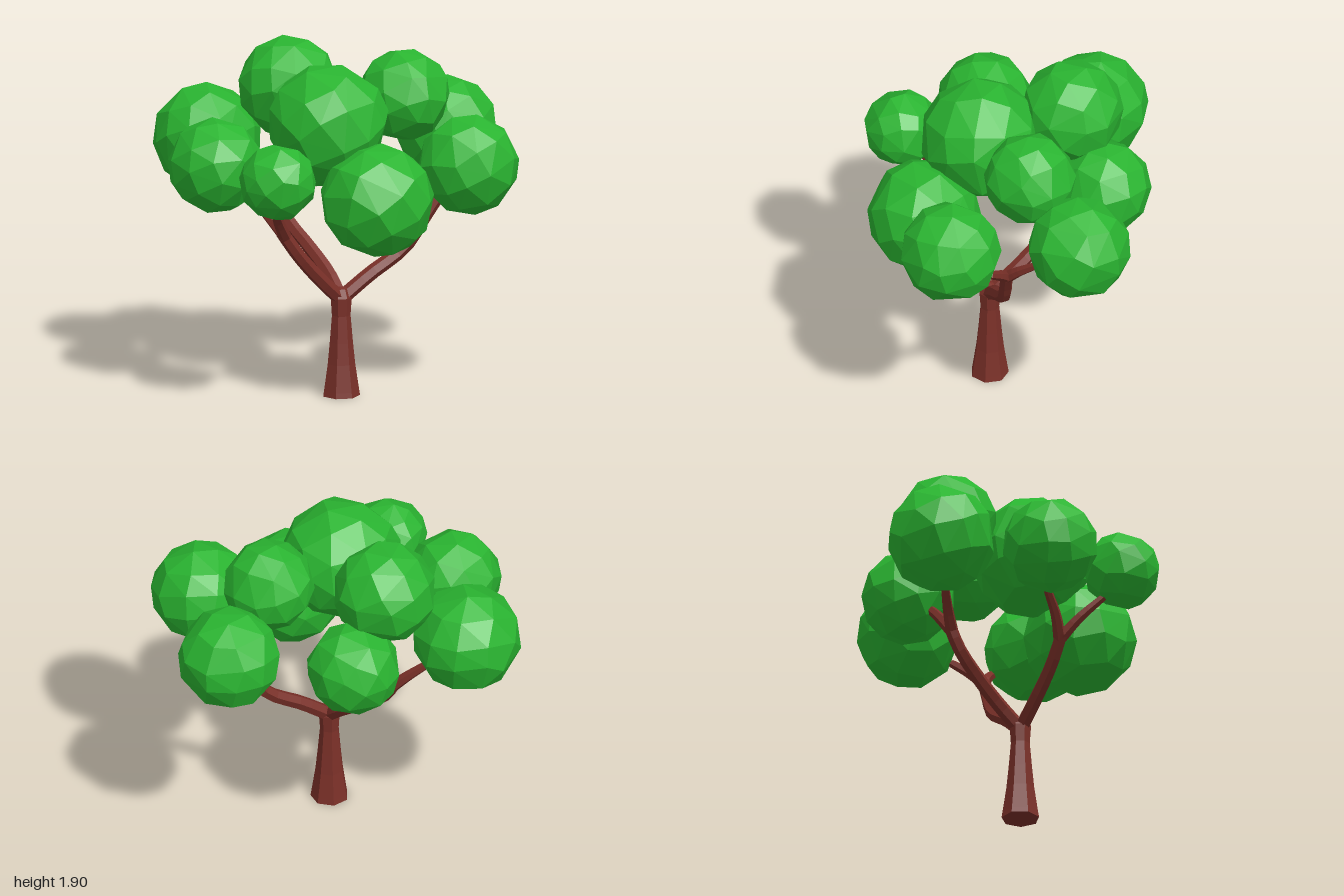
import * as THREE from 'three';
import { ConvexGeometry } from 'three/addons/geometries/ConvexGeometry.js';

const bark = new THREE.MeshStandardMaterial({ color: 0x7a3028, flatShading: true });
const leaf = new THREE.MeshStandardMaterial({ color: 0x2ab531, flatShading: true });

// Small seeded random generator
function seeded(seed) {
  let s = seed;
  return () => (s = (s * 16807) % 2147483647) / 2147483647;
}

// Faceted ball: hull of evenly spread, slightly shaken points on a sphere
function foliage(name, x, y, z, r, seed) {
  const rand = seeded(seed * 7919 + 17);
  const turn = new THREE.Euler(rand() * 6, rand() * 6, rand() * 6);
  const count = 44, points = [];
  for (let i = 0; i < count; i++) {
    const h = 1 - (2 * i + 1) / count;
    const a = i * 2.39996 + (rand() - 0.5) * 0.3;
    const q = Math.sqrt(1 - h * h);
    points.push(new THREE.Vector3(q * Math.cos(a), h + (rand() - 0.5) * 0.08, q * Math.sin(a))
      .setLength(r * 1.015).applyEuler(turn));
  }
  const mesh = new THREE.Mesh(new ConvexGeometry(points), leaf);
  mesh.name = name;
  mesh.position.set(x, y, z);
  return mesh;
}

// Six-sided limb along a curve, tapering from r0 to r1
function limb(name, pts, r0, r1) {
  const curve = new THREE.CatmullRomCurve3(pts.map(p => new THREE.Vector3(...p)));
  const steps = pts.length * 2, sides = 6;
  const geo = new THREE.TubeGeometry(curve, steps, 1, sides);
  const pos = geo.attributes.position, v = new THREE.Vector3();
  for (let i = 0; i <= steps; i++) {
    const c = curve.getPointAt(i / steps);
    const r = THREE.MathUtils.lerp(r0, r1, i / steps);
    for (let j = 0; j <= sides; j++) {
      const k = i * (sides + 1) + j;
      v.fromBufferAttribute(pos, k).sub(c).multiplyScalar(r).add(c);
      pos.setXYZ(k, v.x, v.y, v.z);
    }
  }
  geo.computeVertexNormals();
  const mesh = new THREE.Mesh(geo, bark);
  mesh.name = name;
  return mesh;
}

export function createModel() {
  const tree = new THREE.Group();
  tree.name = 'tree';

  // Trunk: flared foot, narrow waist, slight swelling at the fork
  const profile = [[0, 0], [0.105, 0], [0.1, 0.03], [0.078, 0.18], [0.066, 0.3],
    [0.053, 0.45], [0.06, 0.55], [0.04, 0.6], [0, 0.61]];
  const trunk = new THREE.Mesh(
    new THREE.LatheGeometry(profile.map(p => new THREE.Vector2(...p)), 7), bark);
  trunk.name = 'trunk';
  trunk.position.set(-0.1, 0, 0.16);
  tree.add(trunk);

  // Three main branches, each ending in two twigs
  const branches = [
    { name: 'rightBranch',
      path: [[-0.1, 0.54, 0.16], [0.06, 0.66, 0.2], [0.27, 0.8, 0.25], [0.38, 0.97, 0.29], [0.45, 1.08, 0.32]],
      tips: [[0.55, 1.2, 0.47], [0.58, 1.2, 0.2]] },
    { name: 'leftBranch',
      path: [[-0.1, 0.54, 0.16], [-0.23, 0.66, 0.16], [-0.38, 0.82, 0.16], [-0.49, 0.97, 0.15]],
      tips: [[-0.66, 1.17, 0.31], [-0.58, 1.16, -0.02]] },
    { name: 'backBranch',
      path: [[-0.1, 0.54, 0.16], [-0.085, 0.65, 0.03], [-0.1, 0.77, -0.13], [-0.13, 0.89, -0.28], [-0.14, 1.0, -0.35]],
      tips: [[-0.29, 1.17, -0.5], [0.05, 1.2, -0.4]] }
  ];
  for (const { name, path, tips } of branches) {
    tree.add(limb(name, path, 0.042, 0.036));
    const end = path[path.length - 1], before = path[path.length - 2];
    const root = end.map((e, i) => e * 0.8 + before[i] * 0.2);
    tips.forEach((tip, i) => {
      const mid = end.map((e, k) => e * 0.6 + tip[k] * 0.4);
      tree.add(limb(`${name}Twig${i + 1}`, [root, mid, tip], 0.036, 0.022));
    });
  }

  // Crown: x, y, z, radius
  const crown = [
    ['foliageBackLeft', -0.43, 1.34, -0.63, 0.295],
    ['foliageTop', -0.09, 1.63, -0.335, 0.28],
    ['foliageBackRight', 0.18, 1.275, -0.4, 0.255],
    ['foliageLeft', -0.74, 1.33, -0.12, 0.26],
    ['foliageFrontLeft', -0.7, 1.335, 0.4, 0.21],
    ['foliageCentre', -0.19, 1.54, 0.17, 0.33],
    ['foliageFrontRight', 0.41, 1.32, 0.64, 0.275],
    ['foliageFront', -0.13, 1.175, 0.54, 0.31],
    ['foliageRight', 0.72, 1.355, 0.01, 0.28],
    ['foliageUpperRight', 0.35, 1.615, 0.13, 0.25]
  ];
  crown.forEach((c, i) => tree.add(foliage(...c, i + 1)));
  return tree;
}
